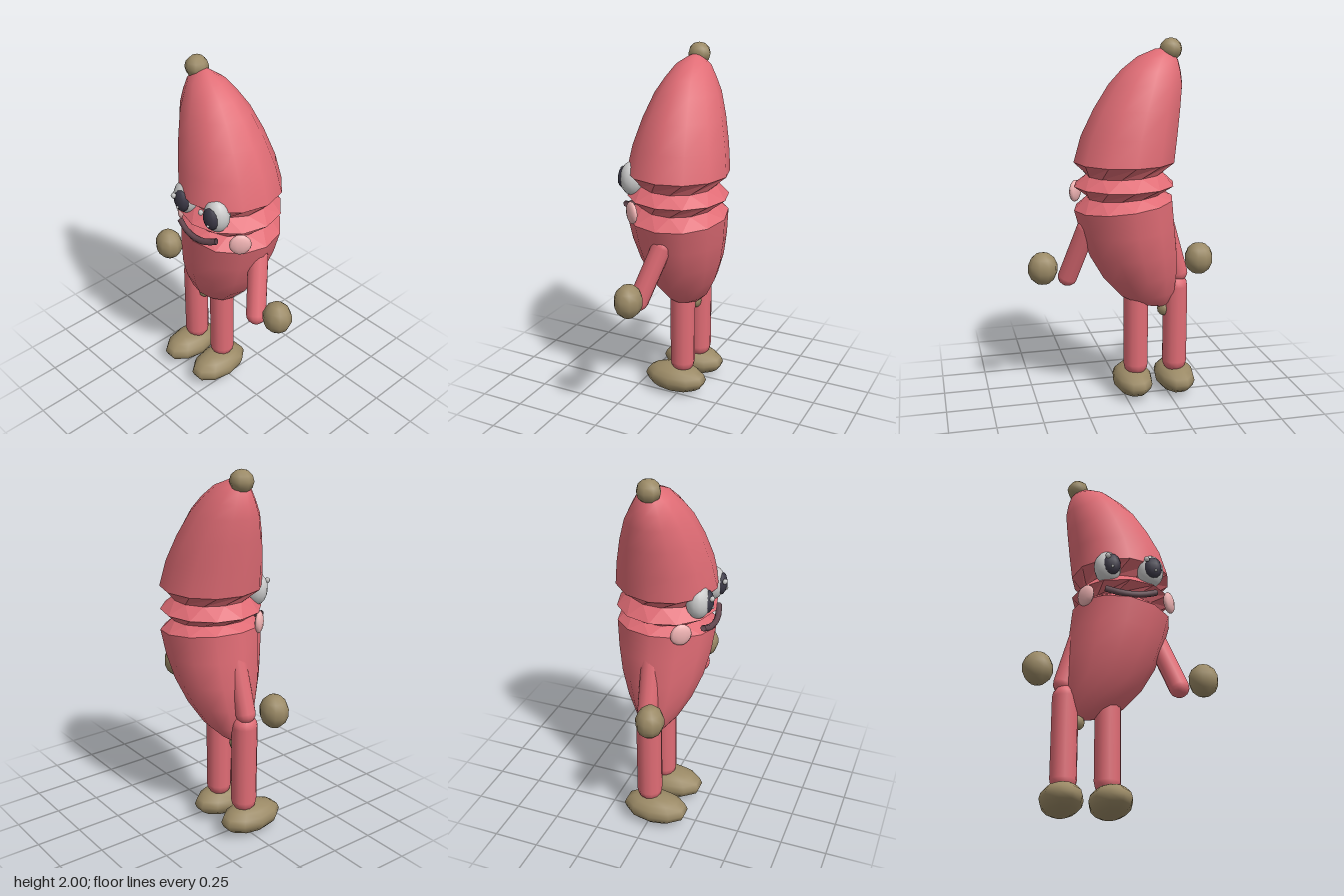
import * as THREE from 'three';

const mat = (color, flat = false) =>
  new THREE.MeshStandardMaterial({ color, flatShading: flat, side: THREE.DoubleSide });

const RED = mat(0xe06c75), RED_FLAT = mat(0xe06c75, true), BROWN = mat(0x9b8a66);
const GREY = mat(0xcccccc), DARK = mat(0x3c3947), PINK = mat(0xf0b4b4), MOUTH = mat(0x654850);
const SIDES = 12;

// Skin over tilted oval rings, listed from bottom to top.
// Each ring: [left x, left y, right x, right y, half depth, twist]
function loft(rings) {
  const pos = [], index = [];
  rings.forEach(([xl, yl, xr, yr, rz, twist = 0]) => {
    for (let j = 0; j < SIDES; j++) {
      const a = (j / SIDES) * Math.PI * 2 + twist;
      const t = (Math.cos(a) + 1) / 2;
      pos.push(xl + (xr - xl) * t, yl + (yr - yl) * t, -0.015 + rz * Math.sin(a));
    }
  });
  for (let i = 0; i < rings.length - 1; i++)
    for (let j = 0; j < SIDES; j++) {
      const a = i * SIDES + j, b = i * SIDES + (j + 1) % SIDES;
      index.push(a, a + SIDES, b, b, a + SIDES, b + SIDES);
    }
  const g = new THREE.BufferGeometry();
  g.setAttribute('position', new THREE.Float32BufferAttribute(pos, 3));
  g.setIndex(index);
  g.computeVertexNormals();
  return g;
}

export function createModel() {
  const model = new THREE.Group();

  const add = (name, geometry, material) => {
    const m = new THREE.Mesh(geometry, material);
    m.name = name;
    model.add(m);
    return m;
  };
  const ball = (name, p, s, material, w = 10, h = 8) => {
    const m = add(name, new THREE.SphereGeometry(1, w, h), material);
    m.position.set(...p);
    m.scale.set(...s);
    return m;
  };
  // Round-ended limb between two points
  const limb = (name, from, to, r) => {
    const a = new THREE.Vector3(...from), b = new THREE.Vector3(...to);
    const d = b.clone().sub(a);
    const m = add(name, new THREE.CapsuleGeometry(r, d.length(), 4, 12), RED);
    m.position.copy(a).add(b).multiplyScalar(0.5);
    m.quaternion.setFromUnitVectors(new THREE.Vector3(0, 1, 0), d.normalize());
  };

  // Curved body: lower half, pinched folds, upper half
  add('lowerBody', loft([
    [-0.23, 0.52, -0.22, 0.52, 0.005],
    [-0.26, 0.55, -0.09, 0.545, 0.05],
    [-0.285, 0.62, 0.02, 0.6, 0.11],
    [-0.295, 0.74, 0.12, 0.71, 0.175],
    [-0.29, 0.87, 0.195, 0.84, 0.225],
    [-0.275, 1.01, 0.245, 0.97, 0.255],
    [-0.26, 1.16, 0.28, 1.1, 0.272],
  ]), RED);
  add('waistFolds', loft([
    [-0.26, 1.16, 0.28, 1.1, 0.272],
    [-0.2, 1.195, 0.21, 1.165, 0.205, 0.3],
    [-0.265, 1.235, 0.28, 1.23, 0.272],
    [-0.2, 1.3, 0.21, 1.285, 0.205, 0.3],
    [-0.268, 1.36, 0.28, 1.36, 0.275],
  ]), RED_FLAT);
  add('upperBody', loft([
    [-0.268, 1.36, 0.28, 1.36, 0.275],
    [-0.285, 1.5, 0.24, 1.5, 0.252],
    [-0.3, 1.64, 0.17, 1.64, 0.215],
    [-0.31, 1.76, 0.09, 1.765, 0.17],
    [-0.3, 1.83, 0.02, 1.84, 0.128],
    [-0.285, 1.885, -0.065, 1.905, 0.088],
    [-0.26, 1.92, -0.16, 1.943, 0.035],
    [-0.215, 1.945, -0.205, 1.947, 0.004],
  ]), RED);

  // End tips
  ball('topTip', [-0.245, 1.94, -0.015], [0.062, 0.06, 0.063], BROWN, 8, 6);
  ball('bottomTip', [-0.22, 0.515, -0.015], [0.037, 0.045, 0.037], BROWN, 8, 6);

  // Arms and detached hands
  limb('leftArm', [0.215, 1.0, -0.02], [0.305, 0.71, 0.075], 0.055);
  limb('rightArm', [-0.22, 1.0, -0.02], [-0.3, 0.72, -0.015], 0.055);
  for (const s of [1, -1])
    ball(s > 0 ? 'leftHand' : 'rightHand', [s * 0.445, 0.768, 0.058], [0.083, 0.092, 0.076], BROWN, 10, 7);

  // Legs and feet
  for (const [side, x, footX] of [['left', -0.062, -0.052], ['right', -0.288, -0.3]]) {
    limb(side + 'Leg', [x, 0.64, -0.01], [x, 0.2, -0.01], 0.07);
    ball(side + 'Foot', [footX, 0.087, 0.03], [0.112, 0.083, 0.187], BROWN, 10, 8);
  }

  // Eyes with pupils and highlights, then cheeks
  for (const [side, x, s] of [['left', 0.13, 1], ['right', -0.105, -1]]) {
    ball(side + 'Eye', [x, 1.325, 0.195], [0.073, 0.093, 0.065], GREY, 14, 10);
    ball(side + 'Pupil', [x + (s > 0 ? 0.005 : 0.015), 1.325, 0.24], [0.05, 0.062, 0.032], DARK, 10, 7);
    ball(side + 'Highlight', [x - (s > 0 ? 0.035 : 0.01), 1.358, 0.272], [0.016, 0.016, 0.014], GREY, 6, 4);
    ball(side + 'SmallHighlight', [x + 0.015, 1.297, 0.268], [0.008, 0.008, 0.008], GREY, 6, 4);
    const cheek = ball(side + 'Cheek', [s > 0 ? 0.245 : -0.212, 1.175, 0.14], [0.058, 0.06, 0.022], PINK, 10, 8);
    cheek.rotation.y = s * 0.9;
  }

  // Smiling mouth
  const smile = new THREE.CatmullRomCurve3([
    [-0.12, 1.182, 0.228], [-0.05, 1.158, 0.244], [0.03, 1.15, 0.248], [0.1, 1.163, 0.24], [0.155, 1.187, 0.222],
  ].map(p => new THREE.Vector3(...p)));
  add('mouth', new THREE.TubeGeometry(smile, 8, 0.017, 6), MOUTH);

  return model;
}
